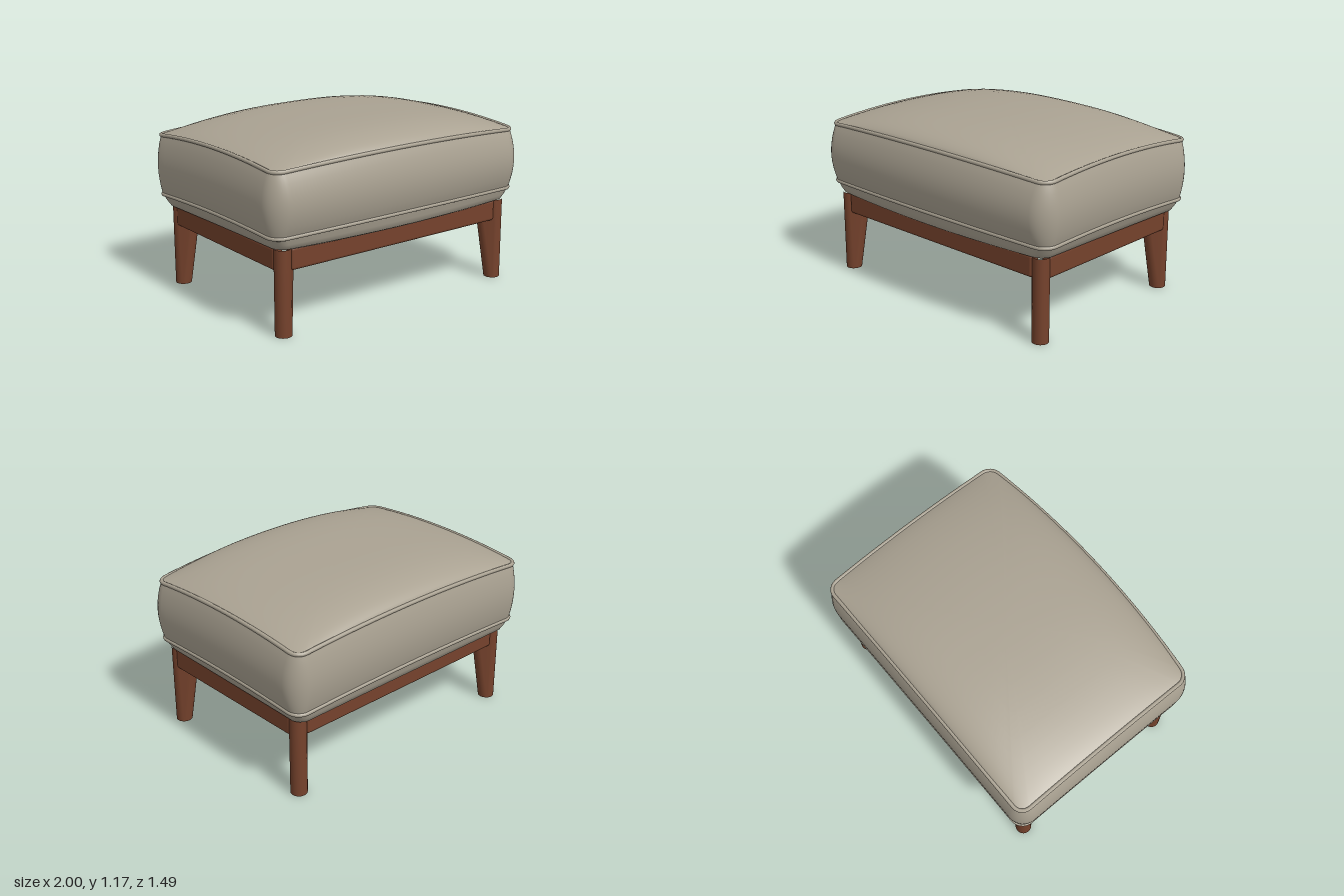
import * as THREE from 'three';
import { RoundedBoxGeometry } from 'three/addons/geometries/RoundedBoxGeometry.js';

const leather = new THREE.MeshStandardMaterial({ color: 0xaaa292 });
leather.name = 'taupe leather';
const wood = new THREE.MeshStandardMaterial({ color: 0x75422c });
wood.name = 'brown wood';

// Skin a stack of closed rings (each counterclockwise seen from above).
function loft(rings) {
  const n = rings[0].length, index = [];
  for (let i = 0; i < rings.length - 1; i++) {
    for (let j = 0; j < n; j++) {
      const a = i * n + j, b = i * n + (j + 1) % n;
      index.push(a, b, a + n, b, b + n, a + n);
    }
  }
  const geo = new THREE.BufferGeometry().setFromPoints(rings.flat());
  geo.setIndex(index);
  geo.computeVertexNormals();
  return geo;
}

function mesh(name, geo, mat) {
  const m = new THREE.Mesh(geo, mat);
  m.name = name;
  return m;
}

// Rounded rectangle ring with a bowed front; t shrinks it towards the centre.
function cushionRing({ y, hx, zb, zf, r, lift }, t = 1, dome = 0) {
  const hz = (zf - zb) / 2, zc = (zf + zb) / 2, outline = [];
  const corners = [[1, -1], [-1, -1], [-1, 1], [1, 1]];
  const cornerPoint = (k, s) => {
    const a = (k + s) * Math.PI / 2, [cx, cz] = corners[k];
    return [cx * (hx - r) + r * Math.cos(a), cz * (hz - r) - r * Math.sin(a)];
  };
  for (let k = 0; k < 4; k++) {
    for (let i = 0; i <= 8; i++) outline.push(cornerPoint(k, i / 8));
    const p = cornerPoint(k, 1), q = cornerPoint((k + 1) % 4, 0);
    for (let i = 1; i < 20; i++) {
      const s = i / 20;
      outline.push([p[0] + (q[0] - p[0]) * s, p[1] + (q[1] - p[1]) * s]);
    }
  }
  return outline.map(([px, pz]) => {
    const x = px * t, z = pz * t;
    const nx = Math.min(1, Math.abs(x / hx)), nz = Math.max(-1, Math.min(1, z / hz));
    const bow = 0.06 * (1 - nx * nx) * Math.max(nz, 0);
    const crown = dome * (1 - nx ** 2.5) ** 0.8 * (1 - nz ** 4) ** 0.6;
    const rise = lift * (1 - nx * nx * nz * nz);
    return new THREE.Vector3(x, y + rise + 0.008 * nz + crown, zc + z + bow);
  });
}

function piping(name, ring) {
  const curve = new THREE.CatmullRomCurve3(ring, true);
  return mesh(name, new THREE.TubeGeometry(curve, 320, 0.013, 8, true), leather);
}

function buildCushion() {
  const cushion = new THREE.Group();
  cushion.name = 'cushion';
  const section = (y, hx, zb, zf, r, lift) => ({ y, hx, zb, zf, r, lift });
  const bottom = section(0.535, 0.9, -0.66, 0.595, 0.07, 0);
  const lowSeam = section(0.62, 0.967, -0.715, 0.64, 0.08, 0.02);
  const topSeam = section(1.015, 0.96, -0.715, 0.635, 0.07, 0.04);

  // flat underside and the rounded lower edge up to the first seam
  cushion.add(mesh('underside', loft([0, 0.5, 1].map(t => cushionRing(bottom, t))), leather));
  cushion.add(mesh('lowerEdge', loft([
    bottom,
    section(0.545, 0.925, -0.685, 0.615, 0.075, 0.002),
    section(0.575, 0.945, -0.7, 0.628, 0.08, 0.01),
    lowSeam,
  ].map(s => cushionRing(s))), leather));

  // bulging side band between the seams
  const band = [];
  for (let i = 0; i <= 12; i++) {
    const s = i / 12, bulge = Math.sin(Math.PI * s) ** 0.85;
    const mix = k => lowSeam[k] + (topSeam[k] - lowSeam[k]) * s;
    band.push(cushionRing(section(
      mix('y'), mix('hx') + 0.036 * bulge, mix('zb') - 0.03 * bulge,
      mix('zf') + 0.045 * bulge, mix('r') + 0.05 * bulge, mix('lift'))));
  }
  cushion.add(mesh('sideBand', loft(band), leather));

  // domed seat panel
  const steps = [1, 0.99, 0.975, 0.95, 0.92, 0.88, 0.82, 0.74, 0.64, 0.5, 0.35, 0.2, 0.08, 0];
  cushion.add(mesh('topPanel', loft(steps.map(t => cushionRing(topSeam, t, 0.115))), leather));

  cushion.add(piping('lowerPiping', cushionRing(lowSeam)));
  cushion.add(piping('upperPiping', cushionRing(topSeam)));
  return cushion;
}

// Leg: round foot, stretched towards the middle of the frame as it rises.
function buildLeg(sx, sz) {
  const cx = sx * 0.867, cz = sz > 0 ? 0.573 : -0.602;
  const ring = (y, radius, stretch) => Array.from({ length: 32 }, (_, i) => {
    const a = (i + 0.5) / 32 * Math.PI * 2, c = Math.cos(a), s = -Math.sin(a);
    const inward = -c * sx - s * sz > 0 ? stretch : 0;
    return new THREE.Vector3(
      cx + c * radius - sx * inward, y, cz + s * radius - sz * inward);
  });
  const name = (sz > 0 ? 'front' : 'back') + (sx > 0 ? 'Left' : 'Right') + 'Leg';
  return mesh(name, loft([
    ring(0, 0, 0), ring(0, 0.053, 0), ring(0, 0.053, 0),
    ring(0.41, 0.053, 0.043), ring(0.55, 0.053, 0.056),
  ]), wood);
}

function buildFrame() {
  const frame = new THREE.Group();
  frame.name = 'frame';
  for (const sx of [1, -1]) {
    for (const sz of [1, -1]) frame.add(buildLeg(sx, sz));
  }
  // rails between the legs, tops hidden in the cushion
  const rail = (name, w, d, x, z) => {
    const r = mesh(name, new RoundedBoxGeometry(w, 0.145, d, 3, 0.02), wood);
    r.position.set(x, 0.4825, z);
    frame.add(r);
  };
  rail('frontRail', 1.66, 0.07, 0, 0.582);
  rail('backRail', 1.66, 0.07, 0, -0.611);
  rail('leftRail', 0.07, 1.135, 0.882, -0.015);
  rail('rightRail', 0.07, 1.135, -0.882, -0.015);
  return frame;
}

export function createModel() {
  const ottoman = new THREE.Group();
  ottoman.name = 'ottoman';
  ottoman.add(buildCushion(), buildFrame());
  return ottoman;
}
